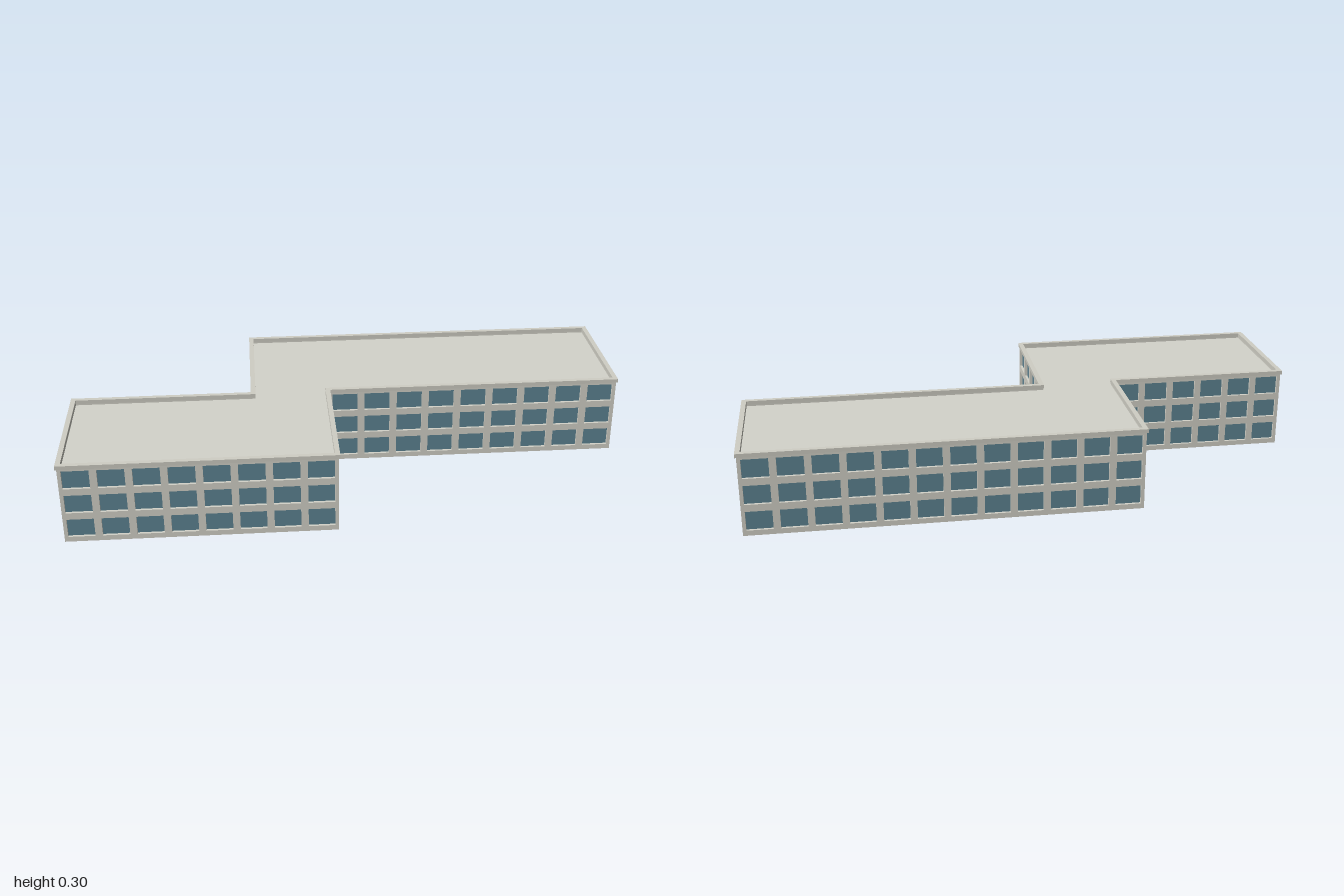
import * as THREE from 'three';

const TURN = 0.206;          // the building stands at a slight angle
const OVERHANG = 0.005, THICK = 0.0124;
const HEIGHT = 0.3, WALL_TOP = 0.286, ROOF = 0.281;

// Coping outline in plan (x, z), running so that the outside lies at (-dz, dx)
const OUTLINE = [
  [-1.022, 0.4995], [-0.07, 0.4995], [-0.07, 0.004], [1.022, 0.004],
  [1.022, -0.4995], [-0.365, -0.4995], [-0.365, -0.001], [-1.022, -0.001],
].map(([x, z]) => new THREE.Vector2(x, z));

const outward = (a, b) => {
  const e = b.clone().sub(a).normalize();
  return new THREE.Vector2(-e.y, e.x);
};

// Move a right-angled outline outwards by d
function offset(points, d) {
  const n = points.length;
  return points.map((p, i) => p.clone()
    .addScaledVector(outward(points[(i + n - 1) % n], p), d)
    .addScaledVector(outward(p, points[(i + 1) % n]), d));
}

// Upright prism over a plan outline, with an optional hole
function prism(points, y0, y1, hole) {
  const shape = new THREE.Shape(points);
  if (hole) shape.holes.push(new THREE.Path(hole.reverse()));
  const geo = new THREE.ExtrudeGeometry(shape, { depth: y1 - y0, bevelEnabled: false });
  return geo.rotateX(Math.PI / 2).translate(0, y1, 0);
}

// Wall panel with three storeys of window openings
function wallPanel(length, bays) {
  const shape = new THREE.Shape([
    new THREE.Vector2(0, 0), new THREE.Vector2(length, 0),
    new THREE.Vector2(length, WALL_TOP), new THREE.Vector2(0, WALL_TOP),
  ]);
  const bay = length / bays, w = bay * 0.785, h = 0.069;
  for (let floor = 0; floor < 3; floor++) {
    for (let i = 0; i < bays; i++) {
      const x = (i + 0.5) * bay - w / 2, y = 0.019 + floor * 0.0945;
      shape.holes.push(new THREE.Path([
        new THREE.Vector2(x, y), new THREE.Vector2(x, y + h),
        new THREE.Vector2(x + w, y + h), new THREE.Vector2(x + w, y),
      ]));
    }
  }
  return new THREE.ExtrudeGeometry(shape, { depth: THICK, bevelEnabled: false })
    .translate(0, 0, -THICK);
}

export function createModel() {
  const mat = (name, color) => {
    const m = new THREE.MeshStandardMaterial({ color });
    m.name = name;
    return m;
  };
  const wall = mat('wall concrete', 0xd4d3c9);
  const roof = mat('roof', 0xd4d4cb);
  const trim = mat('coping stone', 0xcfcec4);
  const glass = mat('window glass', 0x5e8493);
  glass.side = THREE.DoubleSide;

  const model = new THREE.Group();
  model.name = 'officeBuilding';
  const building = new THREE.Group();
  building.name = 'building';
  building.rotation.y = TURN;
  model.add(building);

  const add = (parent, name, geometry, material) => {
    const mesh = new THREE.Mesh(geometry, material);
    mesh.name = name;
    parent.add(mesh);
  };

  // Outer walls: a pierced panel with a sheet of glass set inside it
  const wallLine = offset(OUTLINE, -OVERHANG);
  wallLine.forEach((a, i) => {
    const b = wallLine[(i + 1) % wallLine.length];
    const length = a.distanceTo(b);
    const side = new THREE.Group();
    side.name = 'outerWall';
    side.position.set(a.x, 0, a.y);
    side.rotation.y = Math.atan2(a.y - b.y, b.x - a.x);
    building.add(side);
    add(side, 'wallPanel', wallPanel(length, Math.round(length / 0.118)), wall);
    const pane = new THREE.PlaneGeometry(length - 0.01, 0.27).translate(length / 2, 0.148, -0.0095);
    add(side, 'windowGlass', pane, glass);
  });

  // Flat roof slab, sunk behind the coping; the shell is open underneath
  add(building, 'roofSlab', prism(offset(wallLine, -THICK + 0.001), ROOF - 0.005, ROOF), roof);
  add(building, 'coping', prism(OUTLINE, WALL_TOP, HEIGHT, offset(OUTLINE, -0.0175)), trim);

  return model;
}
